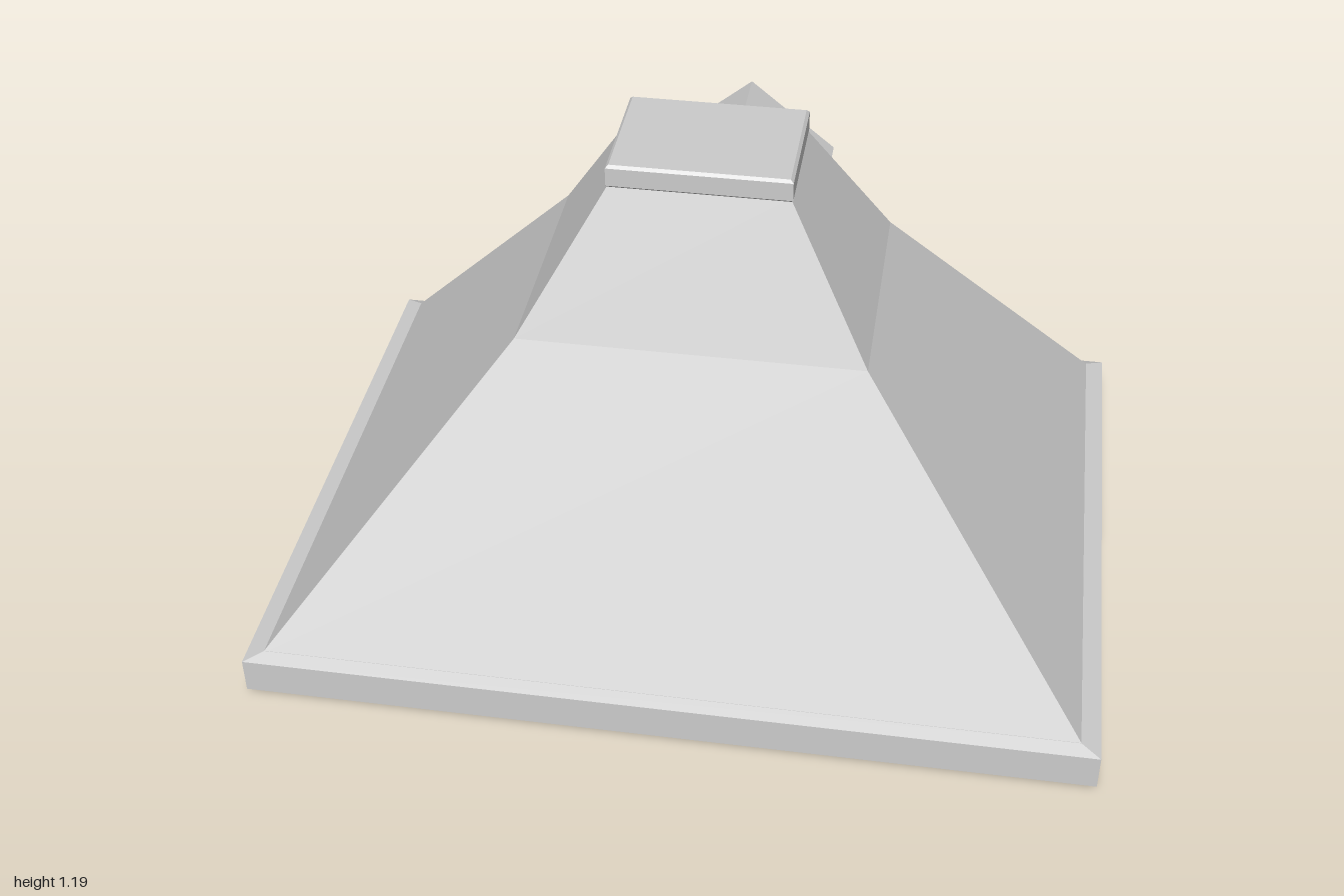
import * as THREE from 'three';

const material = new THREE.MeshStandardMaterial({ color: 0xcccccc, flatShading: true });

function add(parent, name, geometry, x = 0, y = 0, z = 0) {
  const mesh = new THREE.Mesh(geometry, material);
  mesh.name = name;
  mesh.position.set(x, y, z);
  parent.add(mesh);
  return mesh;
}

// Closed solid through stacked rectangles [y, halfWidth, halfDepth], bottom to top
function rectLoft(sections) {
  const positions = [];
  const rings = sections.map(([y, w, d]) => [[-w, y, d], [w, y, d], [w, y, -d], [-w, y, -d]]);
  const quad = (a, b, c, d) => positions.push(...a, ...b, ...c, ...a, ...c, ...d);
  for (let i = 0; i < rings.length - 1; i++) {
    const lo = rings[i], hi = rings[i + 1];
    for (let k = 0; k < 4; k++) {
      const n = (k + 1) % 4;
      quad(lo[k], lo[n], hi[n], hi[k]);
    }
  }
  quad(...rings[rings.length - 1]);
  quad(...[...rings[0]].reverse());
  const geometry = new THREE.BufferGeometry();
  geometry.setAttribute('position', new THREE.Float32BufferAttribute(positions, 3));
  geometry.computeVertexNormals();
  return geometry;
}

// Points of a gable-ended wall outline
const gable = (halfWidth, bottom, shoulder, apex) => [
  [-halfWidth, bottom], [halfWidth, bottom], [halfWidth, shoulder], [0, apex], [-halfWidth, shoulder],
].map(([x, y]) => new THREE.Vector2(x, y));

// Extrude a shape along z between two depths
function extrudeBetween(shape, zBack, zInner) {
  const geometry = new THREE.ExtrudeGeometry(shape, { depth: zInner - zBack, bevelEnabled: false });
  return geometry.translate(0, 0, zBack);
}

export function createModel() {
  const model = new THREE.Group();
  model.name = 'hippedRoof';

  // Chamfered slab at the eaves
  add(model, 'eavesSlab', rectLoft([
    [0, 0.96, 0.705], [0.014, 1, 0.74], [0.104, 1, 0.74], [0.117, 0.955, 0.71],
  ]));

  // Sloping body, steeper in its upper part
  add(model, 'roofSlopes', rectLoft([
    [0.11, 0.96, 0.713], [0.8, 0.405, 0.305], [1.14, 0.205, 0.15],
  ]));

  // Flat cap with softened edges
  add(model, 'ridgeCap', rectLoft([
    [1.13, 0.203, 0.15], [1.138, 0.211, 0.157], [1.183, 0.211, 0.157], [1.19, 0.204, 0.151],
  ]));

  // Dormer on the back slope
  const dormer = new THREE.Group();
  dormer.name = 'dormer';
  model.add(dormer);

  // Hollow walls, open at the window
  const walls = new THREE.Shape(gable(0.155, 0.29, 0.778, 0.9));
  walls.holes.push(new THREE.Path(gable(0.137, 0.308, 0.775, 0.885)));
  add(dormer, 'dormerWalls', extrudeBetween(walls, -0.685, -0.25));

  // Thin folded roof
  const roof = new THREE.Shape([
    [0, 0.917], [-0.222, 0.735], [-0.216, 0.726], [0, 0.9], [0.216, 0.726], [0.222, 0.735],
  ].map(([x, y]) => new THREE.Vector2(x, y)));
  add(dormer, 'dormerRoof', extrudeBetween(roof, -0.74, -0.245));

  // Deep window bars and the boss where they cross
  add(dormer, 'windowMullion', new THREE.BoxGeometry(0.02, 0.59, 0.38), 0, 0.6, -0.492);
  add(dormer, 'windowCrossbar', new THREE.BoxGeometry(0.29, 0.022, 0.38), 0, 0.545, -0.493);
  const boss = rectLoft([[0, 0.025, 0.025], [0.006, 0.025, 0.025], [0.01, 0.019, 0.019]]);
  add(dormer, 'windowBoss', boss, 0, 0.547, -0.682).rotation.x = -Math.PI / 2;

  return model;
}
